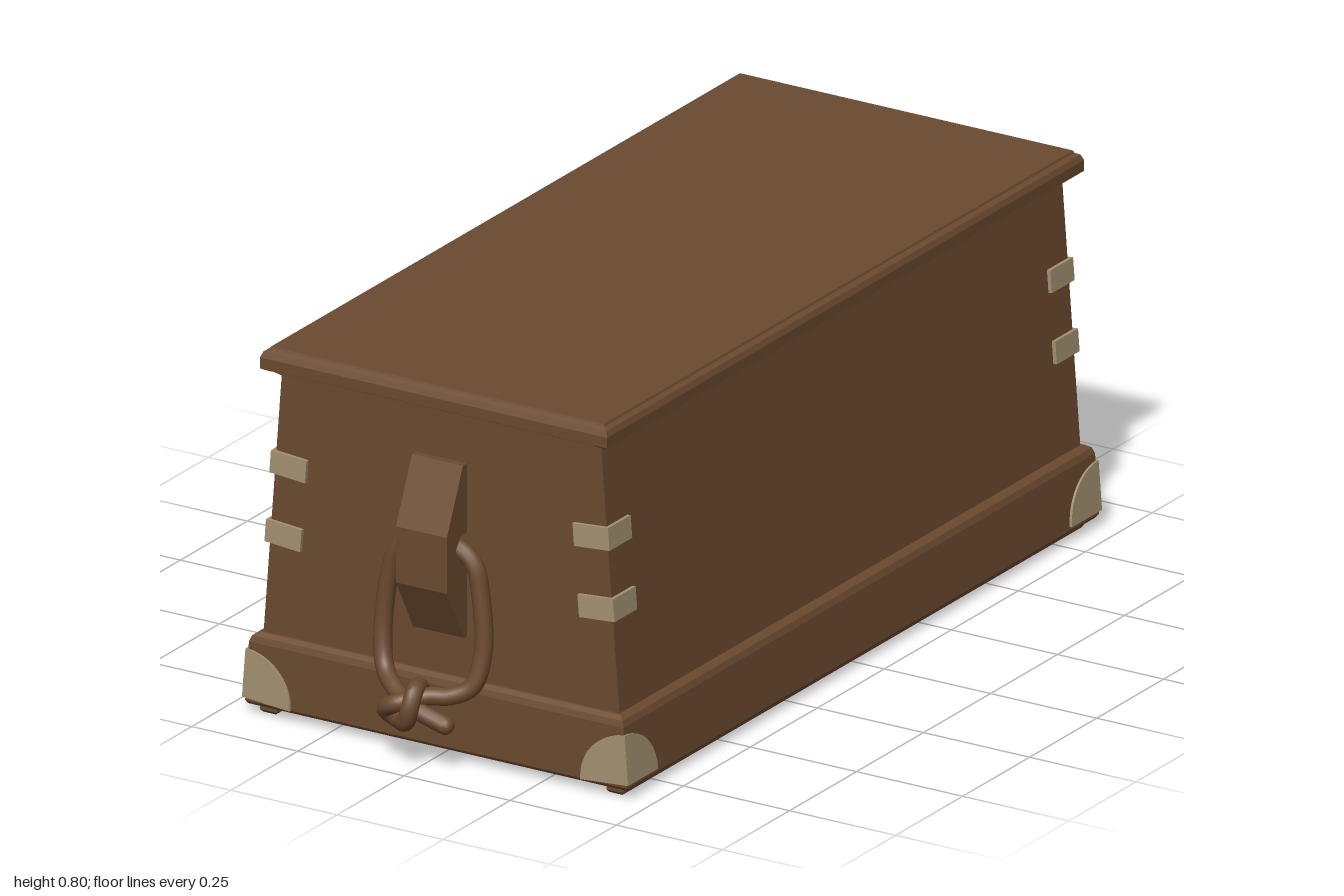
import * as THREE from 'three';

const wood = new THREE.MeshStandardMaterial({ color: 0x6b4a2f });
wood.name = 'brown wood';
const plate = new THREE.MeshStandardMaterial({ color: 0xa39070 });
plate.name = 'pale brass';

function add(parent, name, geometry, material = wood) {
  const mesh = new THREE.Mesh(geometry, material);
  mesh.name = name;
  parent.add(mesh);
  return mesh;
}

// Closed solid through rectangular rings [halfX, y, halfZ], with crisp edges
function loft(rings) {
  const corners = [[1, 1], [1, -1], [-1, -1], [-1, 1]];
  const points = rings.map(([x, y, z]) => corners.map(([sx, sz]) => [sx * x, y, sz * z]));
  const out = [];
  const quad = (a, b, c, d) => out.push(...a, ...b, ...c, ...a, ...c, ...d);
  for (let r = 0; r < points.length - 1; r++) {
    for (let i = 0; i < 4; i++) {
      const j = (i + 1) % 4;
      quad(points[r][i], points[r][j], points[r + 1][j], points[r + 1][i]);
    }
  }
  quad(...[...points[0]].reverse());
  quad(...points[points.length - 1]);
  const g = new THREE.BufferGeometry();
  g.setAttribute('position', new THREE.Float32BufferAttribute(out, 3));
  g.computeVertexNormals();
  return g;
}

function polygon(points) {
  return new THREE.Shape(points.map(([x, y]) => new THREE.Vector2(x, y)));
}

function extrude(shape, depth) {
  return new THREE.ExtrudeGeometry(shape, { depth, bevelEnabled: false, curveSegments: 12 });
}

// Quarter-round plate outline; dir is the side it spreads to
function quarter(dir) {
  const pts = [[0, 0]];
  for (let i = 0; i <= 10; i++) {
    const a = (i / 10) * Math.PI / 2;
    pts.push([dir * 0.112 * Math.cos(a), 0.105 * Math.sin(a)]);
  }
  return polygon(pts);
}

// Wedge under the lid, slotted handle block and knotted rope for one end
function createEnd() {
  const end = new THREE.Group();
  const wedge = extrude(polygon([[-0.39, 0.75], [-0.02, 0.683], [0.02, 0.683], [0.39, 0.75]]), 0.035);
  add(end, 'lidCleat', wedge.translate(0, 0, 0.853));

  const block = extrude(polygon([
    [0.85, 0.265], [0.872, 0.265], [0.935, 0.38], [0.935, 0.5], [0.875, 0.635], [0.85, 0.635],
    [0.85, 0.488], [0.885, 0.485], [0.903, 0.46], [0.885, 0.435], [0.85, 0.432],
  ]), 0.12);
  add(end, 'handleBlock', block.rotateY(-Math.PI / 2).translate(0.06, 0, 0));

  const path = [
    // tail and left side
    [0.065, 0.105, 0.95], [0.0, 0.13, 0.958], [-0.06, 0.15, 0.935], [-0.105, 0.18, 0.905],
    [-0.121, 0.25, 0.887], [-0.11, 0.37, 0.88], [-0.09, 0.43, 0.88],
    // through the slot
    [-0.055, 0.458, 0.88], [0, 0.46, 0.88], [0.055, 0.458, 0.88],
    // right side
    [0.09, 0.43, 0.88], [0.105, 0.37, 0.88], [0.115, 0.25, 0.887], [0.1, 0.18, 0.905],
    // knot
    [0.06, 0.158, 0.925], [0.02, 0.155, 0.94], [-0.035, 0.14, 0.978], [-0.065, 0.118, 0.965],
    [-0.045, 0.096, 0.95], [-0.012, 0.105, 0.975], [0.002, 0.14, 0.981], [0.002, 0.17, 0.965],
    [-0.008, 0.168, 0.93],
  ].map((p) => new THREE.Vector3(...p));
  add(end, 'ropeHandle', new THREE.TubeGeometry(new THREE.CatmullRomCurve3(path), 180, 0.019, 12));
  for (const p of [path[0], path[path.length - 1]]) {
    add(end, 'ropeEnd', new THREE.SphereGeometry(0.019, 12, 8)).position.copy(p);
  }
  return end;
}

// Bands and quarter plates on one vertical corner
function createCorner(sx, sz) {
  const corner = new THREE.Group();
  const slope = 0.078;
  for (const y of [0.395, 0.545]) {
    const x = 0.42 - (y - 0.17) * slope;
    const band = new THREE.Group();
    band.name = 'cornerBand';
    band.position.set(sx * x, y, sz * 0.86);
    band.rotation.z = sx * slope;
    add(band, 'endBand', new THREE.BoxGeometry(0.084, 0.048, 0.009), plate).position.set(-sx * 0.034, 0, sz * 0.0035);
    add(band, 'sideBand', new THREE.BoxGeometry(0.009, 0.048, 0.085), plate).position.set(sx * 0.0035, 0, -sz * 0.0345);
    corner.add(band);
  }
  const guard = new THREE.Group();
  guard.name = 'cornerGuard';
  guard.position.set(sx * 0.45, 0.035, sz * 0.88);
  guard.rotation.z = sx * slope;
  add(guard, 'endGuard', extrude(quarter(-sx), 0.009).translate(sx * 0.004, 0, -0.0045 + sz * 0.0005), plate);
  add(guard, 'sideGuard', extrude(quarter(sz), 0.009).rotateY(Math.PI / 2)
    .translate(-0.0045 + sx * 0.0005, 0, sz * 0.004), plate);
  corner.add(guard);
  return corner;
}

export function createModel() {
  const model = new THREE.Group();
  model.name = 'seaChest';

  add(model, 'body', loft([[0.42, 0.16, 0.86], [0.375, 0.75, 0.86]]));

  // Skirt with a shallow recess underneath
  add(model, 'baseSkirt', loft([
    [0.385, 0.035, 0.835], [0.385, 0.02, 0.835], [0.445, 0.02, 0.875], [0.45, 0.027, 0.88],
    [0.441, 0.155, 0.88], [0.436, 0.168, 0.876], [0.425, 0.175, 0.866],
  ]));

  // Lid with a rounded rim
  add(model, 'lid', loft([
    [0.402, 0.745, 0.882], [0.409, 0.75, 0.89], [0.409, 0.773, 0.89],
    [0.404, 0.785, 0.885], [0.394, 0.79, 0.877], [0.392, 0.795, 0.875],
  ]));

  for (const sx of [1, -1]) {
    const runner = add(model, 'runner', loft([[0.015, 0, 0.855], [0.02, 0.006, 0.86], [0.02, 0.025, 0.86]]));
    runner.position.x = sx * 0.408;
    for (const sz of [1, -1]) model.add(createCorner(sx, sz));
  }

  const frontEnd = createEnd();
  frontEnd.name = 'frontHandle';
  const backEnd = createEnd();
  backEnd.name = 'backHandle';
  backEnd.rotation.y = Math.PI;
  model.add(frontEnd, backEnd);
  return model;
}
